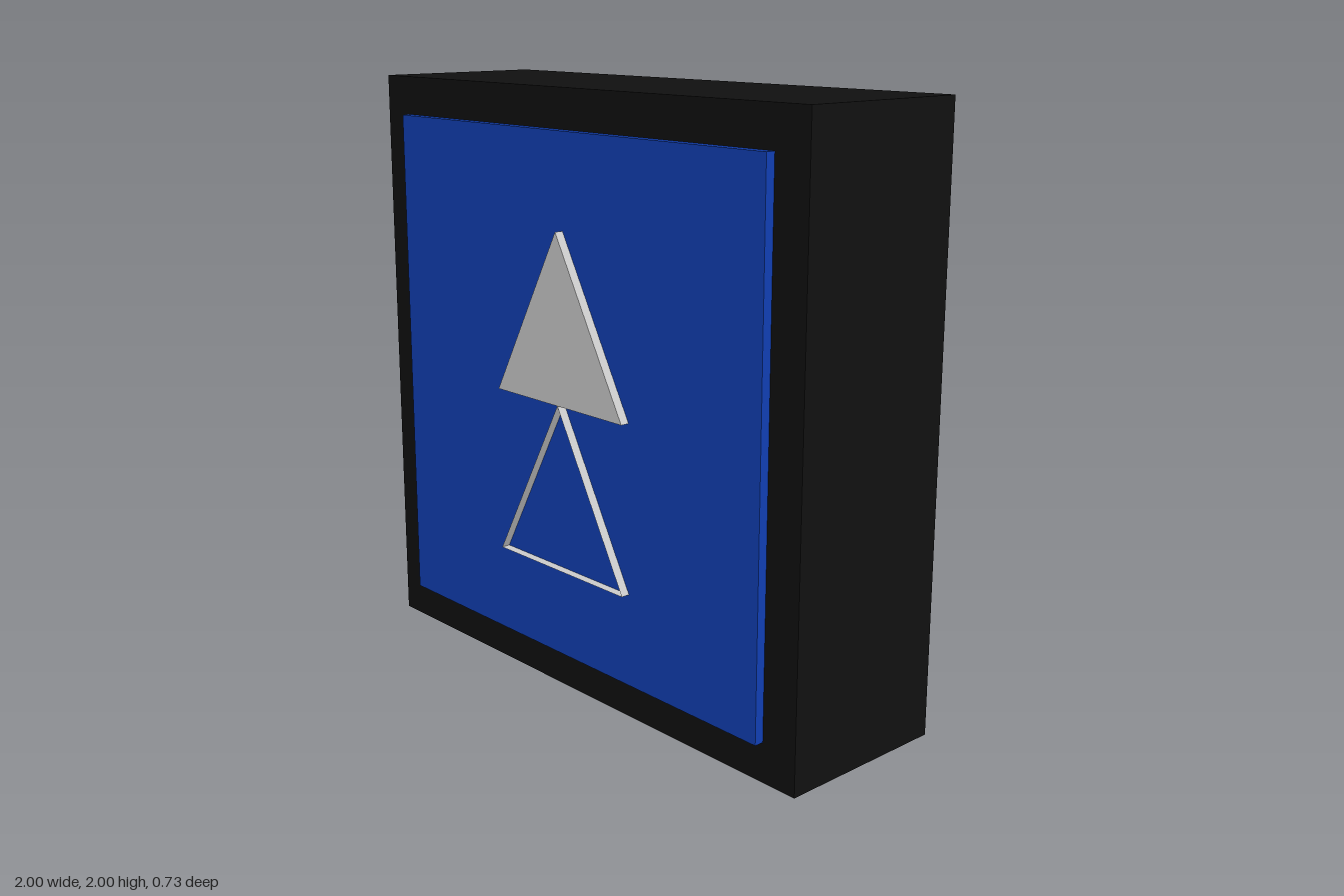
import * as THREE from 'three';

const WIDTH = 0.62, HEIGHT = 0.56; // triangle size
const PANEL_Z = 0.337, FACE_Z = 0.367;

// Upright triangular prism standing on baseY, solid or as an open band
function triangle(name, baseY, open, z) {
  const depth = FACE_Z - PANEL_Z;
  const geometry = new THREE.CylinderGeometry(1, 1, depth, 3, 1, open);
  geometry.rotateX(-Math.PI / 2);
  geometry.scale(WIDTH / Math.sqrt(3), HEIGHT / 1.5, 1);
  const mesh = new THREE.Mesh(geometry, new THREE.MeshStandardMaterial({
    color: 0xcccccc,
    flatShading: true,
    side: open ? THREE.DoubleSide : THREE.FrontSide,
  }));
  mesh.name = name;
  mesh.position.set(0, baseY + HEIGHT / 3, z);
  return mesh;
}

function box(name, w, h, d, color) {
  const mesh = new THREE.Mesh(
    new THREE.BoxGeometry(w, h, d),
    new THREE.MeshStandardMaterial({ color })
  );
  mesh.name = name;
  return mesh;
}

export function createModel() {
  const model = new THREE.Group();
  model.name = 'signBox';

  // Black housing
  const housing = box('housing', 2, 2, 0.61, 0x101010);
  housing.position.y = 1;
  model.add(housing);

  // The same blue panel and pair of triangles on both faces
  for (const side of ['front', 'back']) {
    const face = new THREE.Group();
    face.name = side + 'Face';

    const thickness = PANEL_Z - 0.305;
    const panel = box(side + 'Panel', 1.74, 1.74, thickness, 0x113fb4);
    panel.position.set(0, 1, PANEL_Z - thickness / 2);

    const z = (PANEL_Z + FACE_Z) / 2;
    face.add(
      panel,
      triangle(side + 'UpperTriangle', 1, false, z),
      triangle(side + 'LowerTriangleOutline', 1 - HEIGHT, true, z)
    );
    if (side === 'back') face.rotation.y = Math.PI;
    model.add(face);
  }
  return model;
}
